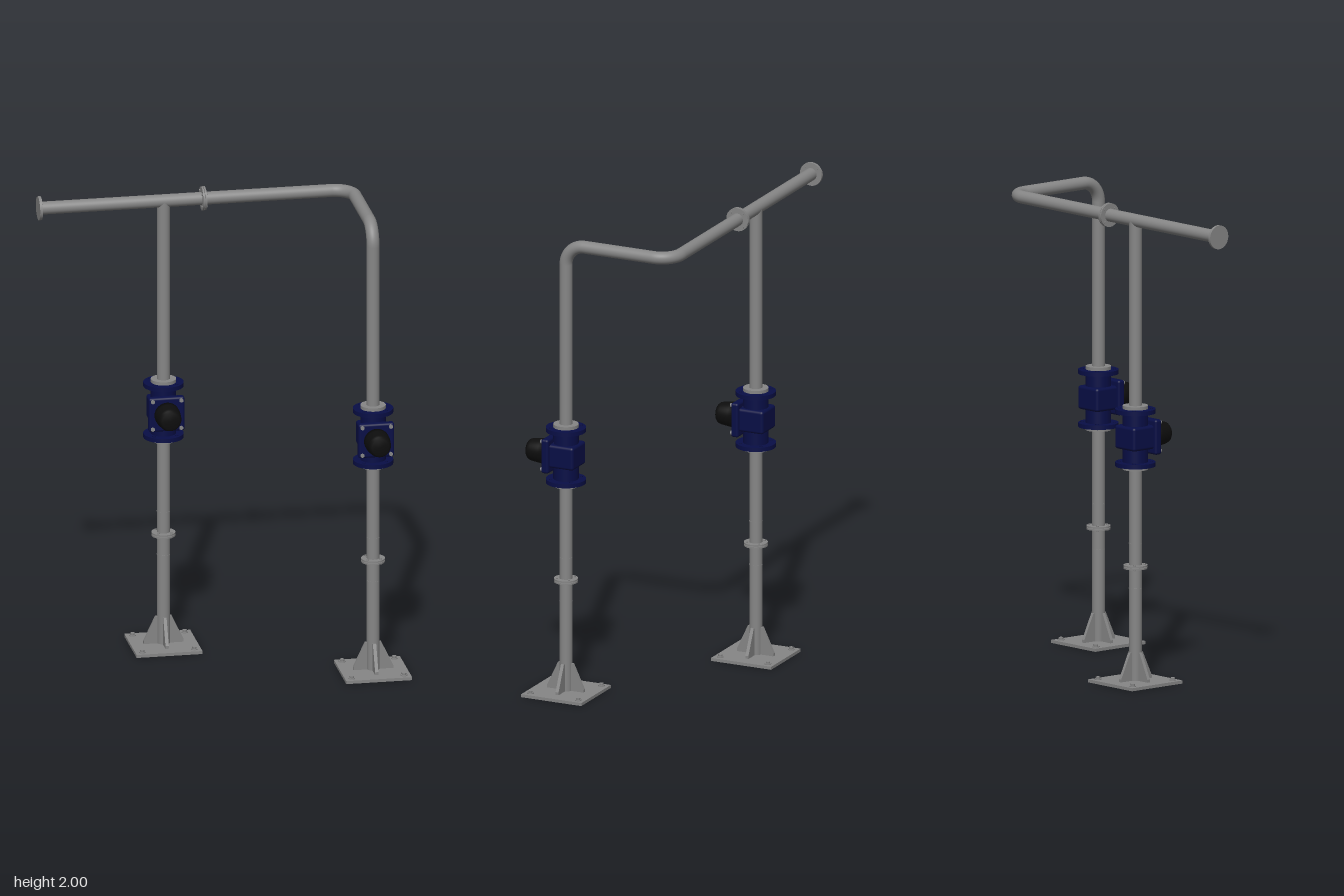
import * as THREE from 'three';
import { RoundedBoxGeometry } from 'three/addons/geometries/RoundedBoxGeometry.js';

const steel = new THREE.MeshStandardMaterial({ color: 0x868686 });
const blue = new THREE.MeshStandardMaterial({ color: 0x080e46 });
const black = new THREE.MeshStandardMaterial({ color: 0x0d0d0d });

const R = 0.027;      // pipe radius
const TOP = 1.95;     // height of the header pipe
const BEND = 0.085;   // elbow radius
const V = (x, y, z) => new THREE.Vector3(x, y, z);

function add(parent, name, geometry, material, x = 0, y = 0, z = 0) {
  const mesh = new THREE.Mesh(geometry, material);
  mesh.name = name;
  mesh.position.set(x, y, z);
  parent.add(mesh);
  return mesh;
}

const disc = (r, h, n = 40) => new THREE.CylinderGeometry(r, r, h, n);

// Four bolts on a circle around the local y axis
function boltCircle(parent, name, radius, size, length, material, y = 0) {
  for (let i = 0; i < 4; i++) {
    const a = Math.PI / 4 + i * Math.PI / 2;
    add(parent, name, disc(size, length, 6), material, radius * Math.cos(a), y, radius * Math.sin(a));
  }
}

// Pair of bolted discs around the local y axis
function flangeJoint(name) {
  const g = new THREE.Group();
  g.name = name;
  for (const s of [-1, 1]) add(g, 'flangeDisc', disc(0.05, 0.007), steel, 0, s * 0.0045, 0);
  add(g, 'gasket', disc(0.042, 0.004), steel);
  boltCircle(g, 'flangeBolt', 0.039, 0.005, 0.025, steel);
  return g;
}

// Square plate with anchor bolts and four tapered gussets
function base() {
  const g = new THREE.Group();
  g.name = 'base';
  add(g, 'basePlate', new THREE.BoxGeometry(0.278, 0.013, 0.278), steel, 0, 0.0065, 0);
  for (const x of [-0.11, 0.11]) for (const z of [-0.11, 0.11]) {
    add(g, 'anchorWasher', disc(0.014, 0.004, 20), steel, x, 0.015, z);
    add(g, 'anchorBolt', disc(0.01, 0.01, 6), steel, x, 0.02, z);
  }
  const shape = new THREE.Shape([[0.02, 0], [0.084, 0], [0.084, 0.012], [0.034, 0.118], [0.02, 0.118]]
    .map(([x, y]) => new THREE.Vector2(x, y)));
  const gusset = new THREE.ExtrudeGeometry(shape, { depth: 0.014, bevelEnabled: false });
  gusset.translate(0, 0.013, -0.007);
  for (let i = 0; i < 4; i++) add(g, 'gusset', gusset, steel).rotation.y = i * Math.PI / 2;
  return g;
}

// Flanged valve with a square bonnet and a round knob facing +z
function valve() {
  const g = new THREE.Group();
  g.name = 'valve';
  add(g, 'valveNeck', disc(0.053, 0.22), blue);
  add(g, 'valveBody', new RoundedBoxGeometry(0.125, 0.1, 0.125, 3, 0.012), blue, 0, 0.002, 0);
  for (const s of [-1, 1]) {
    add(g, 'valveFlange', disc(0.084, 0.018, 48), blue, 0, s * 0.112, 0);
    add(g, 'pipeCollar', disc(0.053, 0.014), steel, 0, s * 0.128, 0);
    boltCircle(g, 'valveFlangeBolt', 0.067, 0.007, 0.024, blue, s * 0.112);
  }
  // Bonnet
  add(g, 'bonnetNeck', disc(0.06, 0.05), blue, 0, 0.002, 0.04).rotation.x = Math.PI / 2;
  add(g, 'bonnetPlate', new RoundedBoxGeometry(0.152, 0.148, 0.034, 3, 0.01), blue, 0, 0.002, 0.063);
  for (const x of [-0.06, 0.06]) for (const y of [-0.058, 0.062])
    add(g, 'bonnetBolt', disc(0.009, 0.012, 6), steel, x, y, 0.081).rotation.x = Math.PI / 2;
  // Knob
  const profile = [[0, 0], [0.053, 0], [0.053, 0.03], [0.048, 0.072], [0.044, 0.085], [0.036, 0.093], [0, 0.093]]
    .map(([x, y]) => new THREE.Vector2(x, y));
  add(g, 'knob', new THREE.LatheGeometry(profile, 40), black, 0, 0.002, 0.077).rotation.x = Math.PI / 2;
  return g;
}

// Everything that stands on one post
function post(name, x, z) {
  const g = new THREE.Group();
  g.name = name;
  g.position.set(x, 0, z);
  g.add(base());
  const joint = flangeJoint('postFlange');
  joint.position.y = 0.491;
  g.add(joint);
  for (const y of [0.4, 0.59]) add(g, 'weldSeam', disc(R + 0.0008, 0.004), steel, 0, y, 0);
  const v = valve();
  v.position.y = 1.036;
  g.add(v);
  return g;
}

// Pipe through corner points, with round elbows
function pipe(name, points) {
  const g = new THREE.Group();
  g.name = name;
  const tube = (part, curve, n) => add(g, part, new THREE.TubeGeometry(curve, n, R, 32), steel);
  let start = points[0];
  for (let i = 1; i < points.length; i++) {
    const p = points[i], next = points[i + 1];
    if (!next) { tube('straightPipe', new THREE.LineCurve3(start, p), 1); break; }
    const a = p.clone().add(start.clone().sub(p).setLength(BEND));
    const b = p.clone().add(next.clone().sub(p).setLength(BEND));
    tube('straightPipe', new THREE.LineCurve3(start, a), 1);
    tube('elbow', new THREE.CubicBezierCurve3(a, a.clone().lerp(p, 0.5523), b.clone().lerp(p, 0.5523), b), 18);
    start = b;
  }
  return g;
}

export function createModel() {
  const model = new THREE.Group();
  model.name = 'pipeStand';
  const [x1, z1, x2, z2] = [-0.201, -0.262, 0.592, 0.226];

  model.add(post('rearPost', x1, z1), post('frontPost', x2, z2));

  // Rear riser meets the header; front riser bends into it
  model.add(pipe('rearRiser', [V(x1, 0.012, z1), V(x1, TOP, z1)]));
  model.add(pipe('header', [V(x2, 0.012, z2), V(x2, TOP, z2), V(x2, TOP, z1), V(-0.725, TOP, z1)]));

  // Header joint
  const joint = flangeJoint('headerFlange');
  joint.position.set(-0.033, TOP, z1);
  joint.rotation.z = Math.PI / 2;
  model.add(joint);

  // Closed end with bolt heads on its inner side
  const end = new THREE.Group();
  end.name = 'endFlange';
  end.position.set(-0.724, TOP, z1);
  end.rotation.z = Math.PI / 2;
  add(end, 'endDisc', disc(0.05, 0.012), steel);
  boltCircle(end, 'endBolt', 0.039, 0.005, 0.01, steel, -0.003);
  model.add(end);
  return model;
}
